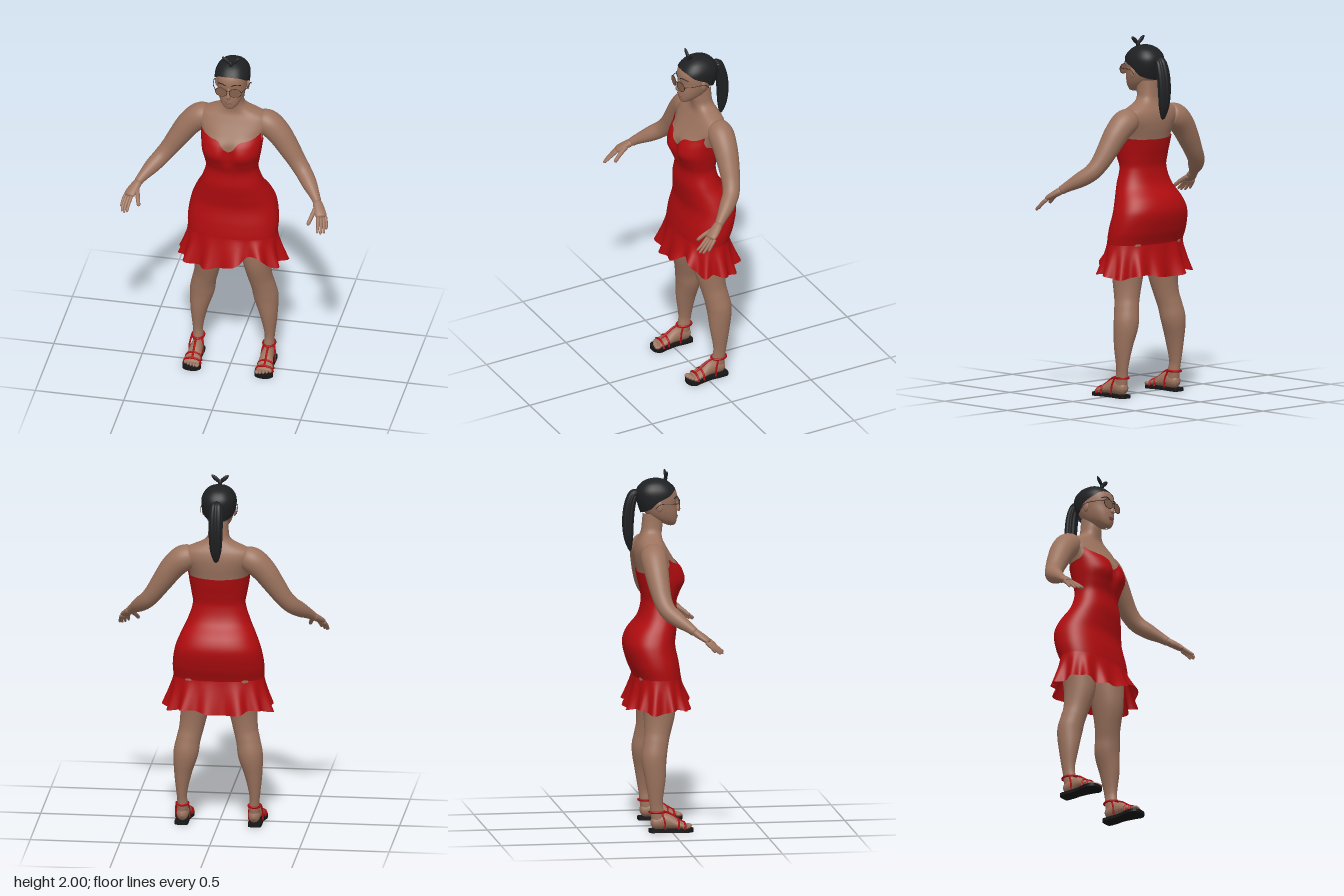
import * as THREE from 'three';

const mat = (name, color, side = THREE.FrontSide) => {
  const m = new THREE.MeshStandardMaterial({ color, side });
  m.name = name;
  return m;
};
const V = (x, y, z) => new THREE.Vector3(x, y, z);

// Smooth surface from fn(u, v), closed around u; v runs 0..1
function grid(fn, nu, nv) {
  const pos = [], idx = [];
  for (let j = 0; j <= nv; j++)
    for (let i = 0; i < nu; i++) pos.push(...fn((i / nu) * Math.PI * 2, j / nv));
  for (let j = 0; j < nv; j++)
    for (let i = 0; i < nu; i++) {
      const k = (i + 1) % nu, a = j * nu + i, b = j * nu + k;
      idx.push(a, b, b + nu, a, b + nu, a + nu);
    }
  const g = new THREE.BufferGeometry();
  g.setAttribute('position', new THREE.Float32BufferAttribute(pos, 3));
  g.setIndex(idx);
  g.computeVertexNormals();
  return g;
}

// Smooth lookup in a table whose first column is the key
function lookup(t, y) {
  let i = 0;
  while (i < t.length - 2 && y > t[i + 1][0]) i++;
  const slope = (k, c) => {
    const a = t[Math.max(k - 1, 0)], b = t[Math.min(k + 1, t.length - 1)];
    return (b[c] - a[c]) / (b[0] - a[0]);
  };
  const h = t[i + 1][0] - t[i][0], s = Math.min(1, Math.max(0, (y - t[i][0]) / h));
  return t[i].slice(1).map((p, n) => {
    const c = n + 1, q = t[i + 1][c], s2 = s * s, s3 = s2 * s;
    return p * (2 * s3 - 3 * s2 + 1) + q * (3 * s2 - 2 * s3) +
      slope(i, c) * h * (s3 - 2 * s2 + s) + slope(i + 1, c) * h * (s3 - s2);
  });
}

// Point on a profile [y, halfWidth, zFront, zBack]; angle 0 is the front, rising toward +x
const pw = (v, p) => Math.sign(v) * Math.abs(v) ** p;
function around(table, a, y, out = 0) {
  const [w, f, b] = lookup(table, y);
  return [(w + out) * pw(Math.sin(a), 0.87), y, (f + b) / 2 + ((f - b) / 2 + out) * pw(Math.cos(a), 0.87)];
}

// Limb through [x, y, z, rSide, rRef]; rRef is measured along the ref direction
function limb(pts, ref, nu = 20, nv = 32, cap = 0.05, rib = 0) {
  const path = new THREE.CatmullRomCurve3(pts.map(p => V(p[0], p[1], p[2])));
  const rad = new THREE.CatmullRomCurve3(pts.map(p => V(p[3], p[4] ?? p[3], 0)), false, 'catmullrom');
  return grid((u, v) => {
    const P = path.getPoint(v), T = path.getTangent(v), r = rad.getPoint(v);
    const N = ref.clone().addScaledVector(T, -ref.dot(T)).normalize(), S = N.clone().cross(T);
    const e = Math.min(1, Math.min(v, 1 - v) / cap);
    const k = Math.max(0.01, Math.sqrt(1 - (1 - e) ** 2)) * (1 + rib * Math.cos(u * 9));
    return P.addScaledVector(S, r.x * k * Math.cos(u)).addScaledVector(N, r.y * k * Math.sin(u)).toArray();
  }, nu, nv);
}
const tube = (pts, r) => new THREE.TubeGeometry(new THREE.CatmullRomCurve3(pts.map(p => V(...p))), 20, r, 6);

const BODY = [[0.78, .235, .06, -.165], [.85, .243, .065, -.178], [.93, .246, .055, -.21], [1.03, .23, .036, -.232],
  [1.1, .203, .043, -.212], [1.18, .165, .052, -.152], [1.27, .138, .047, -.13], [1.33, .146, .068, -.138],
  [1.39, .157, .094, -.152], [1.45, .165, .078, -.163], [1.5, .178, .042, -.172], [1.55, .2, .01, -.175],
  [1.59, .19, -.012, -.168], [1.615, .145, -.024, -.157], [1.635, .095, -.027, -.148], [1.66, .064, -.025, -.14],
  [1.7, .056, -.02, -.135], [1.76, .054, -.02, -.13]];
const HEAD = [[1.686, .004, .035, .02], [1.692, .024, .048, 0], [1.71, .045, .056, -.04], [1.735, .062, .06, -.09],
  [1.77, .075, .06, -.125], [1.81, .083, .055, -.145], [1.85, .086, .06, -.155], [1.89, .082, .05, -.15],
  [1.925, .058, .015, -.125], [1.94, .02, -.03, -.08]];
const HAIR = [[1.74, .066, .05, -.135], [1.8, .09, .06, -.156], [1.85, .097, .065, -.168], [1.89, .093, .053, -.165],
  [1.925, .072, .022, -.14], [1.943, .048, -.008, -.11], [1.951, .025, -.035, -.08], [1.953, .001, -.056, -.058]];
// Edges by angle from the front, in degrees
const NECKLINE = [[0, 1.42], [6, 1.437], [16, 1.478], [32, 1.488], [50, 1.505], [58, 1.522], [66, 1.49], [90, 1.452], [180, 1.435]];
const HAIRLINE = [[0, 1.897], [35, 1.888], [65, 1.86], [90, 1.835], [115, 1.79], [180, 1.762]];
const degrees = a => (a > Math.PI ? 2 * Math.PI - a : a) * 180 / Math.PI;

function torsoPoint(a, y, out) {
  const p = around(BODY, a, y, out);
  // Hollow between the breasts
  if (Math.cos(a) > 0) p[2] -= 0.03 * Math.exp(-((p[0] / 0.035) ** 2) - ((y - 1.4) / 0.06) ** 2);
  return p;
}

export function createModel() {
  const root = new THREE.Group();
  root.name = 'woman';
  const skin = mat('skin', 0x9c735e), red = mat('red fabric', 0xb00c0f, THREE.DoubleSide);
  const black = mat('black hair', 0x1f2022, THREE.DoubleSide), soleMat = mat('black sole', 0x161616);
  const frame = mat('dark frame', 0x35261f), lensMat = mat('tinted lens', 0x86604c, THREE.DoubleSide);
  const lipMat = mat('lips', 0x85534a);
  const X = V(1, 0, 0), Y = V(0, 1, 0), Z = V(0, 0, 1);
  const add = (name, geo, m, parent = root) => {
    const o = new THREE.Mesh(geo, m);
    o.name = name;
    parent.add(o);
    return o;
  };
  const ball = (name, m, parent, p, s) => {
    const o = add(name, new THREE.SphereGeometry(1, 20, 14), m, parent);
    o.position.set(...p);
    o.scale.set(...s);
    return o;
  };

  // Torso and neck
  add('torso', grid((a, v) => torsoPoint(a, 0.85 + v * 0.91, 0), 64, 90), skin);

  // Dress with a sweetheart neckline and a flared, wavy hem
  add('dress', grid((a, v) => {
    const top = lookup(NECKLINE, degrees(a))[0];
    return torsoPoint(a, 0.84 + v * (top - 0.84), 0.008);
  }, 96, 70), red);
  add('ruffle', grid((a, v) => {
    const d = 1 - v, slit = Math.exp(-(((a - 0.5) / 0.32) ** 2));
    const hem = 0.68 + 0.012 * Math.sin(5 * a + 1) + 0.09 * slit;
    const out = 0.009 + d ** 1.2 * (0.045 + 0.017 * Math.sin(13 * a) + 0.008 * Math.sin(7 * a + 2));
    const p = around(BODY, a, 0.85, out);
    p[1] = hem + v * (0.855 - hem);
    return p;
  }, 144, 16), red);

  // Head and face
  const head = new THREE.Group();
  head.name = 'head';
  root.add(head);
  add('face', grid((a, v) => around(HEAD, a, 1.813 - 0.127 * Math.cos(v * Math.PI)), 48, 40), skin, head);
  add('nose', limb([[0, 1.835, .054, .007], [0, 1.805, .061, .009], [0, 1.778, .066, .014], [0, 1.77, .06, .012]], Z, 14, 16, 0.15), skin, head);
  ball('upperLip', lipMat, head, [0, 1.741, .057], [.022, .005, .009]);
  ball('lowerLip', lipMat, head, [0, 1.732, .056], [.019, .006, .009]);
  for (const s of [1, -1]) {
    ball('ear', skin, head, [s * .087, 1.805, -.05], [.009, .03, .018]).rotation.y = s * 0.3;
    add('eyebrow', tube([[s * .015, 1.848, .061], [s * .04, 1.855, .055], [s * .065, 1.846, .036]], .0025), black, head);
    // Glasses
    const lens = add('lens', new THREE.CircleGeometry(0.034, 28), lensMat, head);
    const rim = add('lensRim', new THREE.TorusGeometry(0.034, 0.002, 6, 32), frame, head);
    for (const o of [lens, rim]) {
      o.position.set(s * .04, 1.81, .07);
      o.scale.y = 0.8;
      o.rotation.y = s * 0.15;
    }
    add('templeArm', tube([[s * .073, 1.818, .066], [s * .094, 1.82, .02], [s * .102, 1.818, -.05], [s * .1, 1.795, -.075]], .002), frame, head);
  }
  add('bridge', tube([[-.01, 1.822, .074], [0, 1.825, .077], [.01, 1.822, .074]], .002), frame, head);

  // Hair
  const hair = new THREE.Group();
  hair.name = 'hair';
  root.add(hair);
  add('hairCap', grid((a, v) => {
    const low = lookup(HAIRLINE, degrees(a))[0];
    return around(HAIR, a, low + Math.sin(v * Math.PI / 2) * (1.953 - low));
  }, 64, 30), black, hair);
  add('ponytail', limb([[0, 1.855, -.15, .02, .02], [0, 1.868, -.178, .026, .03], [0, 1.82, -.2, .03, .037], [0, 1.72, -.213, .031, .037],
    [0, 1.62, -.21, .024, .03], [0, 1.545, -.2, .006, .01]], X, 54, 36, 0.04, 0.07), black, hair);
  for (const s of [1, -1])
    ball('topKnotLeaf', black, hair, [s * .022, 1.972, -.002], [.012, .034, .008]).rotation.z = -s * 0.85;
  ball('topKnot', black, hair, [0, 1.95, -.003], [.012, .018, .01]);

  for (const s of [1, -1]) {
    const side = s > 0 ? 'left' : 'right';
    const m = pts => pts.map(p => [p[0] * s, ...p.slice(1)]);

    // Arm and hand
    const arm = new THREE.Group();
    arm.name = side + 'Arm';
    root.add(arm);
    add('armLimb', limb(m([[.13, 1.555, -.095, .06], [.19, 1.538, -.098, .073], [.25, 1.485, -.094, .069], [.31, 1.4, -.085, .06],
      [.36, 1.325, -.072, .051], [.4, 1.275, -.05, .047], [.445, 1.232, .0, .042], [.49, 1.19, .06, .028], [.512, 1.165, .092, .024]]), Y, 28, 48), skin, arm);
    add('palm', limb(m([[.5, 1.178, .075, .024, .022], [.52, 1.155, .11, .03, .02], [.537, 1.134, .142, .033, .017], [.545, 1.12, .162, .03, .013]]), Y, 20, 18, 0.15), skin, arm);
    const fingers = [[[.526, 1.128, .16], [.535, 1.09, .205], [.538, 1.063, .24]],
      [[.541, 1.124, .158], [.552, 1.085, .202], [.556, 1.054, .236]],
      [[.554, 1.122, .15], [.567, 1.083, .19], [.571, 1.054, .22]],
      [[.563, 1.124, .137], [.576, 1.092, .168], [.581, 1.064, .19]],
      [[.507, 1.155, .11], [.491, 1.122, .165], [.477, 1.088, .207]]];
    fingers.forEach((f, i) => add(i < 4 ? 'finger' : 'thumb',
      limb(m(f.map((p, k) => [...p, (i < 4 ? .0105 : .014) - k * .002])), Y, 10, 14, 0.12), skin, arm));

    // Leg and foot
    const leg = new THREE.Group();
    leg.name = side + 'Leg';
    root.add(leg);
    add('legLimb', limb(m([[.125, .92, -.07, .1, .11], [.13, .78, -.065, .094, .1], [.136, .66, -.06, .079, .09], [.152, .55, -.072, .068, .073],
      [.167, .485, -.084, .067, .07], [.18, .41, -.095, .069, .07], [.196, .3, -.09, .05, .058], [.203, .17, -.087, .029, .038],
      [.2, .11, -.08, .029, .038], [.2, .05, -.07, .03, .04]]), Z, 28, 56, 0.03), skin, leg);
    add('foot', limb(m([[.2, .047, -.118, .025, .028], [.2, .054, -.08, .033, .038], [.2, .06, -.03, .035, .043], [.203, .043, .03, .042, .026],
      [.205, .033, .07, .045, .016], [.205, .03, .09, .042, .011]]), Y, 24, 28, 0.1), skin, leg);
    for (let i = 0; i < 5; i++)
      ball('toe', skin, leg, [s * (.17 + i * .0175), .028, .098 - i * i * .0016], [i ? .009 : .0125, .011, .02]);

    // Sandal
    const sandal = new THREE.Group();
    sandal.name = side + 'Sandal';
    sandal.position.x = s * .204;
    leg.add(sandal);
    const outline = new THREE.Shape();
    outline.setFromPoints(new THREE.CatmullRomCurve3([[0, .128], [.032, .122], [.038, .08], [.035, .02], [.045, -.05], [.053, -.09], [.035, -.115],
      [-.01, -.122], [-.045, -.105], [-.053, -.06], [-.038, .01], [-.038, .08], [-.032, .122]].map(p => V(p[0], p[1], 0)), true).getPoints(60));
    add('sole', new THREE.ExtrudeGeometry(outline, { depth: 0.018, bevelEnabled: false }), soleMat, sandal).rotation.x = -Math.PI / 2;
    const ankle = add('ankleStrap', new THREE.TorusGeometry(1, 0.15, 8, 32), red, sandal);
    ankle.rotation.x = Math.PI / 2;
    ankle.position.set(-s * .003, .113, -.081);
    ankle.scale.set(.034, .043, .045);
    for (const [z, h, w] of [[.07, .052, .049], [.035, .068, .045]])
      add('toeStrap', tube([[-w, .018, z], [-w * .8, h * .78, z], [0, h, z], [w * .8, h * .78, z], [w, .018, z]], .0065), red, sandal);
    add('centreStrap', tube([[0, .05, .072], [0, .075, .03], [0, .104, -.012], [0, .113, -.04]], .006), red, sandal);
    for (const k of [1, -1])
      add('sideStrap', tube([[k * .03, .112, -.06], [k * .038, .07, -.045], [k * .039, .018, -.04]], .005), red, sandal);
  }
  return root;
}
